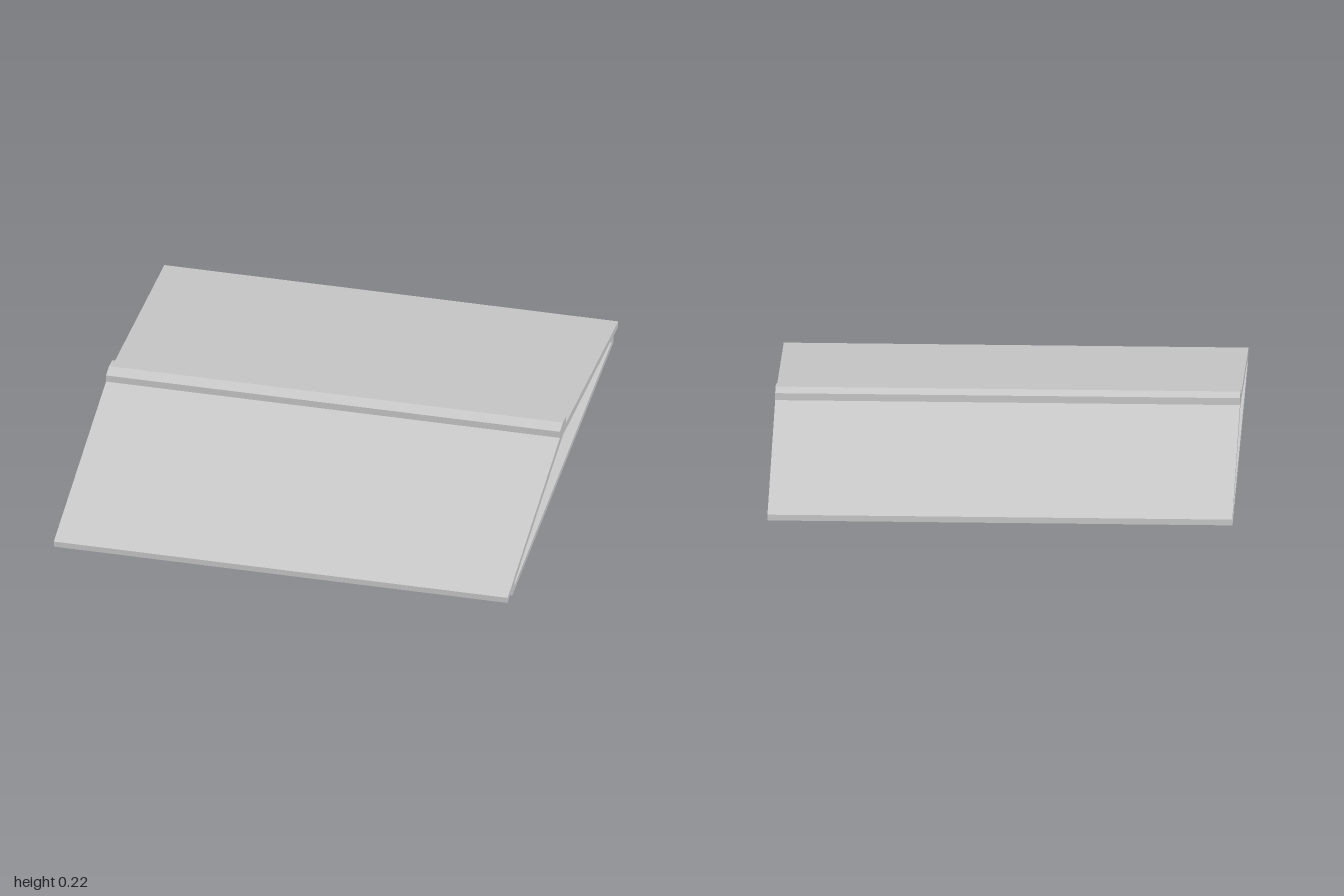
import * as THREE from 'three';

const HALF_LENGTH = 0.915;
const RECESS = 0.1;

// Mirrors a half profile, listed from the base up, into a closed outline
function mirrored(half, top) {
  const pts = [...half, top, ...half.map(([z, y]) => [-z, y]).reverse()];
  return pts.map(([z, y]) => new THREE.Vector2(z, y));
}

// Extrudes a cross-section along x, centred on x = 0
function extrudeAlongX(name, shape, halfLength, material) {
  const geometry = new THREE.ExtrudeGeometry(shape, { depth: halfLength * 2, bevelEnabled: false });
  geometry.translate(0, 0, -halfLength);
  geometry.rotateY(Math.PI / 2);
  const mesh = new THREE.Mesh(geometry, material);
  mesh.name = name;
  return mesh;
}

export function createModel() {
  const group = new THREE.Group();
  group.name = 'gableRoof';
  const material = new THREE.MeshStandardMaterial({ color: 0xcccccc, flatShading: true });

  // Base slab, sloping eaves and raised ridge cap in one section
  const outer = mirrored([
    [0.915, 0], [0.915, 0.032], [1, 0.02], [1, 0.044], [0.055, 0.183], [0.055, 0.212],
  ], [0, 0.22]);
  // Triangular opening of the gable
  const opening = mirrored([[0.88, 0.022], [0.88, 0.037]], [0, 0.16]);

  const shell = new THREE.Shape(outer);
  shell.holes.push(new THREE.Path(opening));
  group.add(extrudeAlongX('roofShell', shell, HALF_LENGTH, material));

  // Gable walls set back from both ends
  group.add(extrudeAlongX('gableInfill', new THREE.Shape(opening), HALF_LENGTH - RECESS, material));
  return group;
}
